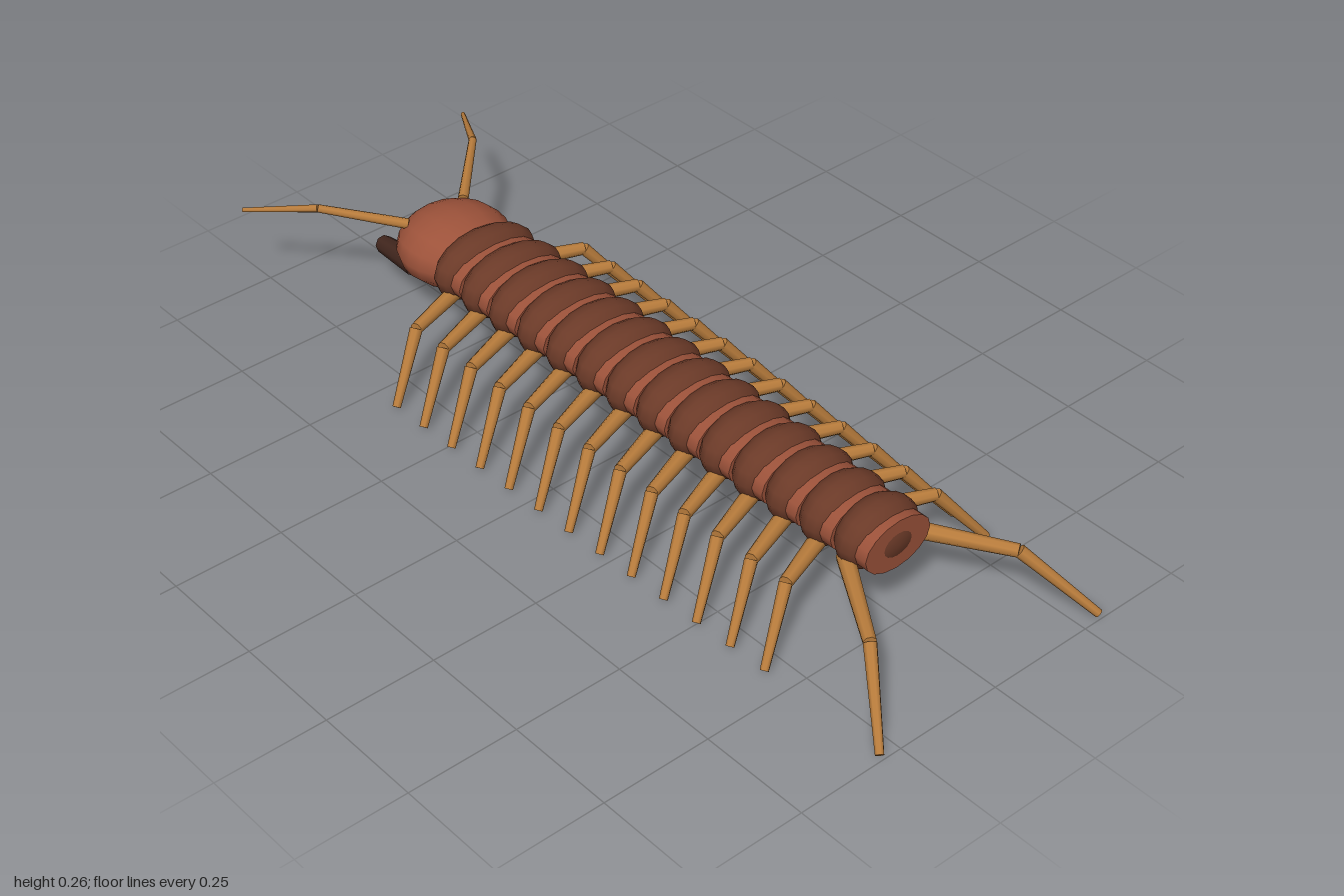
import * as THREE from 'three';

const mat = (name, color) => {
  const m = new THREE.MeshStandardMaterial({ color });
  m.name = name;
  return m;
};

export function createModel() {
  const model = new THREE.Group();
  model.name = 'centipede';
  const shell = mat('dark brown shell', 0x6b3a28);
  const skin = mat('reddish brown skin', 0x9c523a);
  const limb = mat('ochre limb', 0xb87c3c);
  const fang = mat('blackish brown fang', 0x44281f);

  const add = (name, geometry, material, parent = model) => {
    const mesh = new THREE.Mesh(geometry, material);
    mesh.name = name;
    parent.add(mesh);
    return mesh;
  };

  // Tapered rod from point a (radius ra) to point b (radius rb)
  const rod = (name, a, b, ra, rb, material, parent, sides = 8) => {
    const from = new THREE.Vector3(...a), to = new THREE.Vector3(...b);
    const dir = to.clone().sub(from);
    const mesh = add(name, new THREE.CylinderGeometry(rb, ra, dir.length(), sides), material, parent);
    mesh.position.copy(from).add(to).multiplyScalar(0.5);
    mesh.quaternion.setFromUnitVectors(new THREE.Vector3(0, 1, 0), dir.normalize());
  };

  // Two-part limb through three points
  const jointed = (name, points, radii, material) => {
    const group = new THREE.Group();
    group.name = name;
    model.add(group);
    for (let i = 0; i < 2; i++)
      rod(i ? 'outerPart' : 'innerPart', points[i], points[i + 1], radii[i], radii[i + 1], material, group);
  };

  // Ellipsoid with its poles along z
  const ellipsoid = (w, h) => new THREE.SphereGeometry(1, w, h).rotateX(Math.PI / 2);

  const count = 14, first = -0.53, pitch = 0.0925;
  for (let i = 0; i < count; i++) {
    const t = i / (count - 1), z = first + i * pitch;
    const rx = 0.131 - 0.033 * t ** 1.4, ry = 0.078 - 0.005 * t;

    // Body plate and the flat joint disc behind it
    const plate = add('bodySegment', ellipsoid(16, 10), shell);
    plate.scale.set(rx, ry, 0.062);
    plate.position.set(0, 0.18, z);
    const disc = add('segmentJoint', new THREE.CylinderGeometry(1, 1, 1, 16).rotateX(Math.PI / 2), skin);
    disc.scale.set(rx * 0.88, ry * 0.79, 0.03);
    disc.position.set(0, 0.18, z + 0.042);

    // Leg pair, the last one long and trailing
    const last = i === count - 1;
    for (const s of [1, -1]) {
      const points = last
        ? [[s * 0.07, 0.145, 0.66], [s * 0.2, 0.137, 0.86], [s * 0.297, 0.009, 0.992]]
        : [[s * rx * 0.65, 0.142, z + 0.005], [s * (rx + 0.1), 0.137, z + 0.055],
          [s * (rx + 0.2), 0.009, z + 0.108]];
      jointed(last ? 'trailingLeg' : 'leg', points, [0.019, 0.014, 0.009], limb);
    }
  }

  // Head
  const head = add('head', ellipsoid(16, 12), skin);
  head.scale.set(0.131, 0.084, 0.125);
  head.position.set(0, 0.172, -0.635);

  // Fangs and antennae
  for (const s of [1, -1]) {
    rod('fang', [s * 0.082, 0.135, -0.67], [s * 0.058, 0.099, -0.823], 0.029, 0.021, fang, model);
    jointed('antenna', [[s * 0.075, 0.222, -0.7], [s * 0.213, 0.252, -0.84], [s * 0.306, 0.21, -0.997]],
      [0.012, 0.009, 0.005], limb);
  }
  return model;
}
